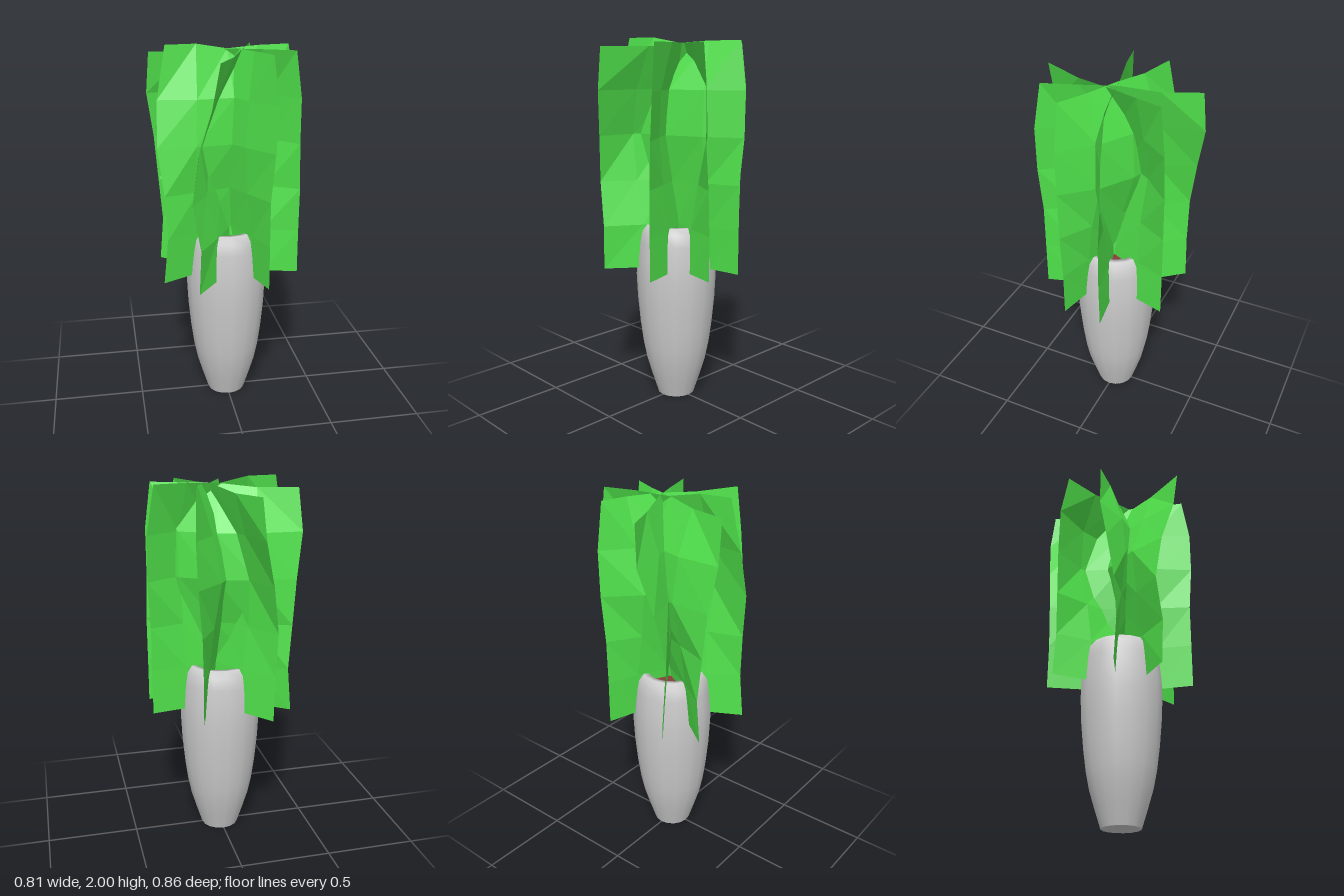
import * as THREE from 'three';

const ROWS = [0.76, 1.0, 1.24, 1.49, 1.73, 1.97];
const SEGMENTS = 4;

// A tall leaf card that passes through the plant. Each row is an arc from one outer edge,
// through the crease in the middle, to the opposite edge (x, z pairs, bottom row first).
function leafCard(name, edgeA, crease, edgeB, topA, topB, material) {
  const positions = [], index = [];
  const last = ROWS.length - 1;
  ROWS.forEach((rowY, r) => {
    for (let s = 0; s <= SEGMENTS; s++) {
      const t = s / SEGMENTS, bow = 4 * t * (1 - t);
      const [x, z] = [0, 1].map((k) => {
        const a = edgeA[r][k], b = edgeB[r][k];
        return a + (b - a) * t + bow * (crease[r][k] - (a + b) / 2);
      });
      const top = t < 0.5 ? topA : t > 0.5 ? topB : 1.97;
      positions.push(x, r === last ? top : rowY, z);
    }
  });
  const n = SEGMENTS + 1;
  for (let r = 0; r < last; r++) {
    for (let s = 0; s < SEGMENTS; s++) {
      const a = r * n + s;
      index.push(a, a + 1, a + n + 1, a, a + n + 1, a + n);
    }
  }
  const geometry = new THREE.BufferGeometry();
  geometry.setAttribute('position', new THREE.Float32BufferAttribute(positions, 3));
  geometry.setIndex(index);
  geometry.computeVertexNormals();
  const mesh = new THREE.Mesh(geometry, material);
  mesh.name = name;
  return mesh;
}

export function createModel() {
  const model = new THREE.Group();
  model.name = 'pottedPlant';

  const grey = new THREE.MeshStandardMaterial({ color: 0xcccccc });
  const green = new THREE.MeshStandardMaterial({ color: 0x4fe04a, flatShading: true, side: THREE.DoubleSide });
  const brown = new THREE.MeshStandardMaterial({ color: 0x8a3a36 });

  // Vase with a rounded rim that turns inwards
  const profile = [
    [0.105, 0], [0.137, 0.1], [0.167, 0.2], [0.187, 0.3], [0.203, 0.42], [0.217, 0.57],
    [0.223, 0.7], [0.22, 0.8], [0.21, 0.9], [0.198, 0.965], [0.17, 1.0], [0.135, 0.995], [0.125, 0.93],
  ].map(([r, y]) => new THREE.Vector2(r, y));
  const vase = new THREE.Mesh(new THREE.LatheGeometry(profile, 16), grey);
  vase.name = 'vase';
  model.add(vase);

  const base = new THREE.Mesh(new THREE.CircleGeometry(0.105, 16), grey);
  base.rotation.x = Math.PI / 2;
  base.name = 'vaseBase';
  model.add(base);

  // Soil
  const soil = new THREE.Mesh(new THREE.CircleGeometry(0.132, 16), brown);
  soil.rotation.x = -Math.PI / 2;
  soil.position.y = 0.95;
  soil.name = 'soil';
  model.add(soil);

  // Four crossing leaf cards, bowed most at mid height
  model.add(leafCard('frontLeaf',
    [[-0.2, 0.355], [-0.19, 0.36], [-0.23, 0.345], [-0.2, 0.37], [-0.14, 0.42], [-0.1, 0.43]],
    [[0.04, 0], [0.02, 0], [-0.03, 0], [-0.085, -0.02], [-0.02, 0], [0.09, 0]],
    [[0.165, -0.34], [0.165, -0.34], [0.17, -0.34], [0.19, -0.345], [0.2, -0.34], [0.19, -0.31]],
    1.95, 1.975, green));

  model.add(leafCard('sideLeaf',
    [[-0.365, 0.17], [-0.34, 0.17], [-0.35, 0.16], [-0.38, 0.13], [-0.37, 0.08], [-0.32, 0.05]],
    [[0, 0], [0.01, 0.01], [0.02, 0.04], [0.02, 0.095], [0.03, 0.08], [0.01, -0.02]],
    [[0.39, -0.085], [0.39, -0.08], [0.39, -0.08], [0.403, -0.1], [0.4, -0.105], [0.36, -0.11]],
    2.0, 1.98, green));

  model.add(leafCard('slantedLeaf',
    [[-0.35, -0.21], [-0.33, -0.21], [-0.35, -0.2], [-0.37, -0.19], [-0.405, -0.16], [-0.39, -0.12]],
    [[0.01, 0.02], [0.01, 0], [0.03, -0.05], [0.05, -0.125], [0.045, -0.11], [0.01, -0.01]],
    [[0.38, 0.13], [0.38, 0.13], [0.38, 0.14], [0.37, 0.15], [0.37, 0.15], [0.34, 0.14]],
    1.95, 1.97, green));

  model.add(leafCard('backLeaf',
    [[-0.21, -0.345], [-0.22, -0.335], [-0.23, -0.335], [-0.19, -0.375], [-0.13, -0.425], [-0.11, -0.41]],
    [[0.04, 0], [0.025, 0], [-0.01, 0], [-0.03, 0.01], [-0.01, 0], [0.05, -0.04]],
    [[0.17, 0.35], [0.17, 0.35], [0.17, 0.35], [0.19, 0.36], [0.2, 0.355], [0.18, 0.32]],
    1.94, 1.97, green));

  return model;
}
